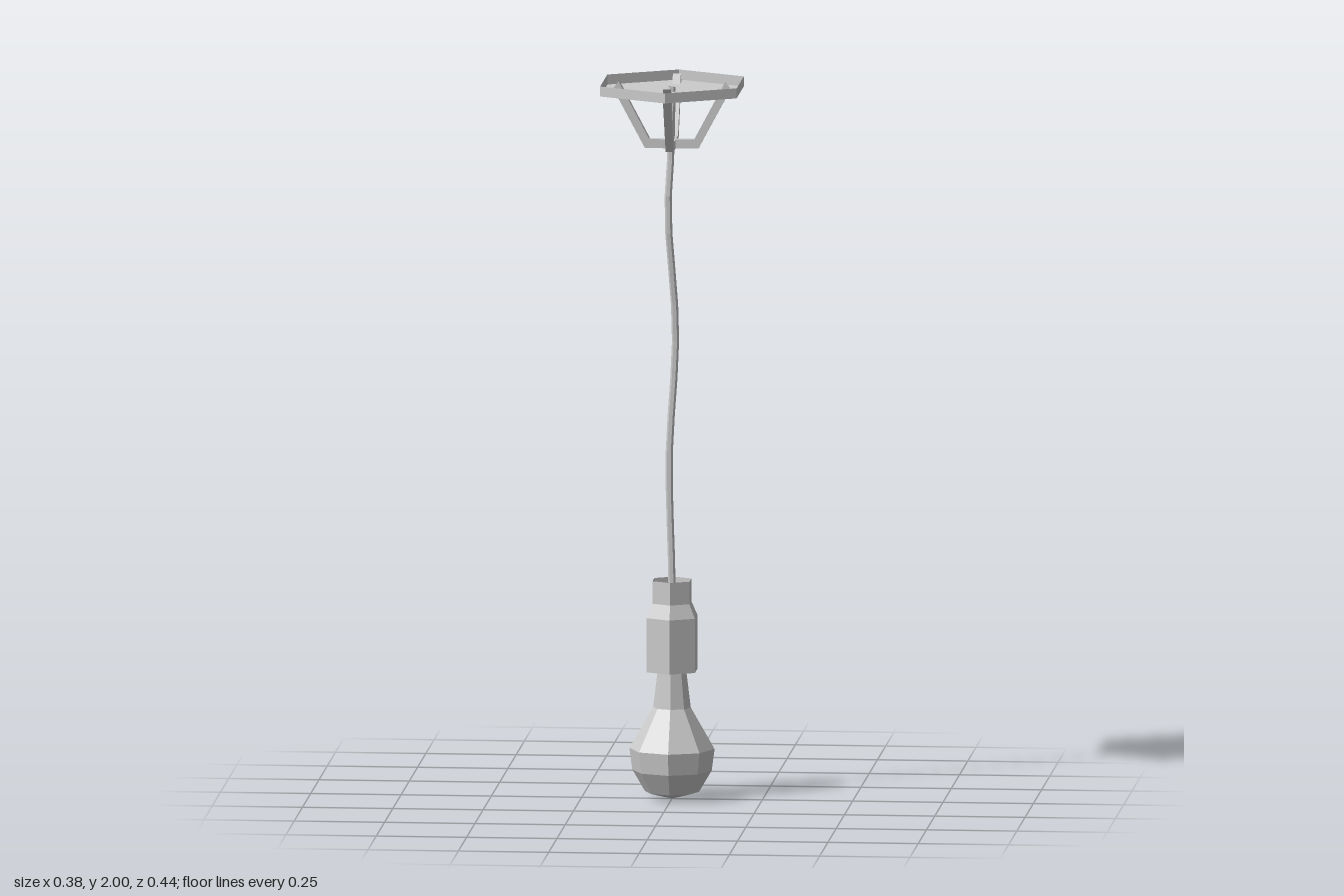
import * as THREE from 'three';

const material = new THREE.MeshStandardMaterial({
  color: 0xcccccc, flatShading: true, side: THREE.DoubleSide,
});

function part(name, geometry) {
  const mesh = new THREE.Mesh(geometry, material);
  mesh.name = name;
  return mesh;
}

// Faceted turned shape from [radius, height] pairs, listed bottom to top.
// The first corner lies on +z.
function turned(name, profile, sides) {
  const points = profile.map(([r, y]) => new THREE.Vector2(r, y));
  return part(name, new THREE.LatheGeometry(points, sides));
}

// U-shaped square bar with open ends, made from four-cornered sections.
function bracketGeometry(halfWidth) {
  const half = [ // outer x, y and inner x, y
    [0.162, 1.979, 0.147, 2.0],
    [0.074, 1.815, 0.062, 1.84],
  ];
  const sections = [...half, ...half.map(([a, b, c, d]) => [-a, b, -c, d]).reverse()];
  const positions = [];
  const index = [];
  sections.forEach(([ox, oy, ix, iy], s) => {
    positions.push(
      ox, oy, halfWidth, ix, iy, halfWidth,
      ix, iy, -halfWidth, ox, oy, -halfWidth);
    if (s === 0) return;
    for (let k = 0; k < 4; k++) {
      const a = (s - 1) * 4 + k, b = (s - 1) * 4 + (k + 1) % 4;
      index.push(a, b, a + 4, b, b + 4, a + 4);
    }
  });
  const geometry = new THREE.BufferGeometry();
  geometry.setAttribute('position', new THREE.Float32BufferAttribute(positions, 3));
  geometry.setIndex(index);
  geometry.computeVertexNormals();
  return geometry;
}

export function createModel() {
  const model = new THREE.Group();
  model.name = 'pendantLamp';

  // Ceiling plate: shallow hexagonal tray, open at the top
  model.add(turned('ceilingPlate', [[0, 1.972], [0.218, 1.972], [0.218, 2.0]], 6));

  // Two crossing brackets under the plate
  for (let i = 0; i < 2; i++) {
    const bracket = part('bracket', bracketGeometry(0.011));
    bracket.rotation.y = i * Math.PI / 2;
    model.add(bracket);
  }

  // Slightly wavy cable, open at both ends
  const cablePath = new THREE.CatmullRomCurve3([
    [0, 1.985, 0], [-0.003, 1.8, 0.004], [-0.01, 1.64, 0.014], [0.009, 1.3, -0.01],
    [-0.008, 0.95, -0.002], [0, 0.6, 0], [0, 0.36, 0],
  ].map((p) => new THREE.Vector3(...p)));
  model.add(part('cable', new THREE.TubeGeometry(cablePath, 16, 0.01, 6)));

  // Hexagonal socket, hollow at the top
  model.add(turned('socket', [
    [0, 0.357], [0.077, 0.357], [0.077, 0.508], [0.059, 0.547], [0.059, 0.61],
  ], 6));

  // Eight-sided bulb
  model.add(turned('bulb', [
    [0, 0], [0.075, 0.02], [0.11, 0.08], [0.118, 0.14], [0.052, 0.255], [0.038, 0.37],
  ], 8));

  return model;
}
